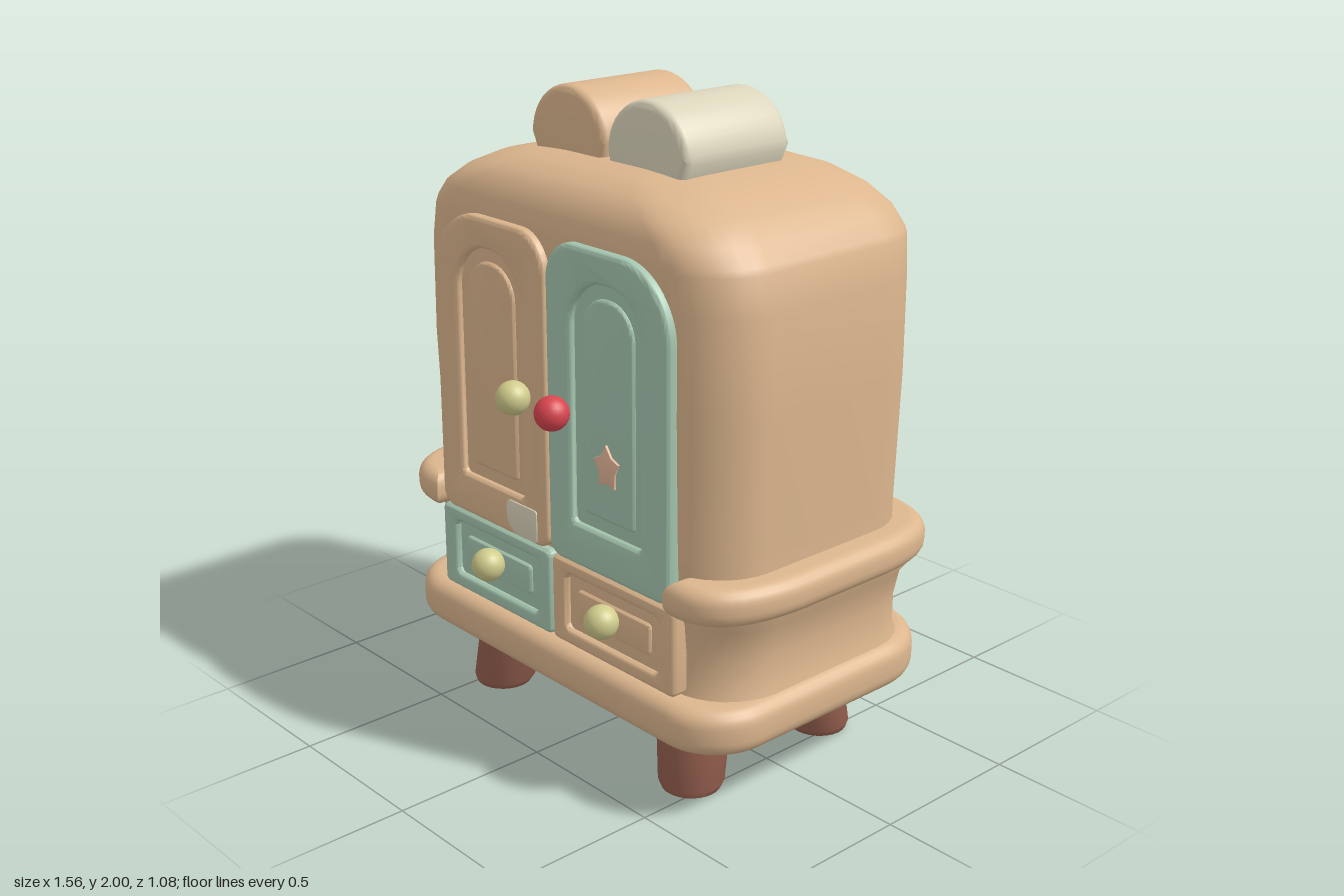
import * as THREE from 'three';
import { toCreasedNormals } from 'three/addons/utils/BufferGeometryUtils.js';

const mat = (name, color) => Object.assign(new THREE.MeshStandardMaterial({ color }), { name });

// Rounded rectangle path; radii: bottom-left, bottom-right, top-right, top-left
function roundRect(x0, x1, y0, y1, [bl, br, tr, tl], Type = THREE.Shape) {
  const s = new Type();
  const P = Math.PI;
  s.moveTo(x0 + bl, y0);
  s.absarc(x1 - br, y0 + br, br, -P / 2, 0, false);
  s.absarc(x1 - tr, y1 - tr, tr, 0, P / 2, false);
  s.absarc(x0 + tl, y1 - tl, tl, P / 2, P, false);
  s.absarc(x0 + bl, y0 + bl, bl, P, 1.5 * P, false);
  return s;
}

// Extrusion whose bevel stays inside the outline, starting at depth 0
function puff(shape, depth, bevel) {
  const g = new THREE.ExtrudeGeometry(shape, {
    depth: depth - 2 * bevel, bevelThickness: bevel, bevelSize: bevel, bevelOffset: -bevel,
    bevelSegments: 5, curveSegments: 10,
  });
  g.translate(0, 0, bevel);
  return toCreasedNormals(g, 0.7);
}

// Outline drawn as (x, -z), raised from y
const slab = (shape, y, h, bevel) => puff(shape, h, bevel).rotateX(-Math.PI / 2).translate(0, y, 0);

// Rounded-rectangle ring, with extra points on the back edge for the recess
function ring([y, hw, zf, zb, recessed]) {
  const r = Math.min(0.2, hw * 0.45, (zf - zb) * 0.3);
  const pts = [];
  const corner = (cx, cz, a) => {
    for (let i = 0; i <= 8; i++) {
      const t = a + (i / 8) * Math.PI / 2;
      pts.push([cx + r * Math.cos(t), y, cz + r * Math.sin(t)]);
    }
  };
  corner(hw - r, zf - r, 0);
  corner(-hw + r, zf - r, Math.PI / 2);
  corner(-hw + r, zb + r, Math.PI);
  const f = Math.min(1, (hw - r) / 0.36);
  for (const x of [-0.335, -0.32, 0.32, 0.335]) {
    pts.push([x * f, y, zb + (recessed && Math.abs(x) < 0.33 ? 0.045 : 0)]);
  }
  corner(hw - r, zb + r, 1.5 * Math.PI);
  return pts;
}

function loft(levels) {
  const rings = levels.map(ring);
  const n = rings[0].length, pos = rings.flat(2), idx = [];
  for (let j = 0; j < rings.length - 1; j++) {
    for (let i = 0; i < n; i++) {
      const a = j * n + i, b = j * n + (i + 1) % n;
      idx.push(a, a + n, b, b, a + n, b + n);
    }
  }
  // Top cap
  const last = levels[levels.length - 1], base = (rings.length - 1) * n;
  pos.push(0, last[0], (last[2] + last[3]) / 2);
  for (let i = 0; i < n; i++) idx.push(rings.length * n, base + (i + 1) % n, base + i);
  const g = new THREE.BufferGeometry();
  g.setAttribute('position', new THREE.Float32BufferAttribute(pos, 3));
  g.setIndex(idx);
  return toCreasedNormals(g, 0.8);
}

export function createModel() {
  const model = new THREE.Group();
  const tan = mat('tan wood', 0xdcb68e), green = mat('sage green', 0xa6c6b0);
  const brown = mat('brown legs', 0x96604f), yellow = mat('yellow knob', 0xd0cb8c);
  const red = mat('red knob', 0xd8454f), cream = mat('cream', 0xdcd5bc);
  const peach = mat('peach', 0xe4b698);
  const add = (name, geo, material, parent = model) => {
    const m = new THREE.Mesh(geo, material);
    m.name = name;
    parent.add(m);
    return m;
  };

  // Cabinet: y, half width, front z, back z, recessed back
  add('upperCabinet', loft([
    [0.70, 0.69, 0.40, -0.44], [0.785, 0.69, 0.405, -0.44], [0.795, 0.69, 0.405, -0.44, 1],
    [1.2, 0.705, 0.41, -0.44, 1], [1.5, 0.70, 0.41, -0.445, 1], [1.61, 0.68, 0.41, -0.46, 1],
    [1.63, 0.67, 0.41, -0.462], [1.68, 0.63, 0.405, -0.455], [1.73, 0.56, 0.385, -0.43],
    [1.77, 0.475, 0.345, -0.385], [1.797, 0.37, 0.28, -0.31], [1.815, 0.22, 0.16, -0.18],
    [1.82, 0.08, 0.06, -0.07],
  ]), tan);
  add('lowerCabinet', loft([
    [0.34, 0.72, 0.40, -0.46, 1], [0.40, 0.70, 0.385, -0.45, 1], [0.50, 0.70, 0.385, -0.45, 1],
    [0.59, 0.715, 0.39, -0.46, 1], [0.64, 0.745, 0.40, -0.49, 1], [0.68, 0.75, 0.40, -0.49, 1],
  ]), tan);

  // Base and the waist moulding that is open at the front
  add('base', slab(roundRect(-0.745, 0.745, -0.47, 0.52, [0.2, 0.2, 0.24, 0.24]), 0.23, 0.145, 0.05), tan);
  const u = new THREE.Shape();
  u.moveTo(-0.53, -0.2);
  u.lineTo(-0.53, -0.46);
  u.lineTo(-0.58, -0.46);
  u.bezierCurveTo(-0.70, -0.45, -0.77, -0.36, -0.78, -0.15);
  u.lineTo(-0.78, 0.22);
  u.bezierCurveTo(-0.77, 0.42, -0.71, 0.5, -0.5, 0.515);
  u.lineTo(0.5, 0.515);
  u.bezierCurveTo(0.71, 0.5, 0.77, 0.42, 0.78, 0.22);
  u.lineTo(0.78, -0.15);
  u.bezierCurveTo(0.77, -0.36, 0.70, -0.45, 0.58, -0.46);
  u.lineTo(0.53, -0.46);
  u.lineTo(0.53, -0.2);
  add('waistMoulding', slab(u, 0.635, 0.115, 0.045), tan);
  add('backLedge', slab(roundRect(-0.335, 0.335, 0.38, 0.537, [0.02, 0.02, 0.01, 0.01]), 0.65, 0.118, 0.008), tan);

  // Doors and drawers: frame, sunken field and raised centre
  function panel(name, s, material, box, radii, inset, insetRadii, zBack, zFront) {
    const g = new THREE.Group();
    g.name = name;
    const side = (b, r, Type) => s > 0 ? roundRect(b[0], b[1], b[2], b[3], r, Type)
      : roundRect(-b[1], -b[0], b[2], b[3], [r[1], r[0], r[3], r[2]], Type);
    const shrink = (d) => [inset[0] + d, inset[1] - d, inset[2] + d, inset[3] - d];
    const frame = side(box, radii);
    frame.holes.push(side(inset, insetRadii, THREE.Path));
    add('frame', puff(frame, zFront - zBack, 0.016).translate(0, 0, zBack), material, g);
    add('field', puff(side(shrink(-0.02), insetRadii), 0.03, 0.004).translate(0, 0, zFront - 0.05), material, g);
    add('raisedCentre', puff(side(shrink(0.04), insetRadii.map((r) => r * 0.75)), 0.03, 0.01)
      .translate(0, 0, zFront - 0.04), material, g);
    model.add(g);
  }
  for (const s of [-1, 1]) {
    const side = s > 0 ? 'left' : 'right';
    panel(side + 'Door', s, s > 0 ? green : tan, [0.004, 0.53, 0.655, 1.625], [0.05, 0.05, 0.21, 0.12],
      [0.115, 0.415, 0.79, 1.53], [0.02, 0.02, 0.14, 0.14], 0.38, 0.438);
    panel(side + 'Drawer', s, s > 0 ? tan : green, [0.004, 0.545, 0.375, 0.65], [0.02, 0.02, 0.02, 0.02],
      [0.07, 0.475, 0.425, 0.605], [0.02, 0.02, 0.02, 0.02], 0.34, 0.432);
    const knob = new THREE.SphereGeometry(0.052, 24, 16);
    add(side + 'DoorKnob', knob, s > 0 ? red : yellow).position.set(0.09 * s, 1.13, 0.486);
    add(side + 'DrawerKnob', knob, yellow).position.set(0.27 * s, 0.53, 0.462);
  }

  // Small painted patches on the doors
  add('creamPatch', puff(roundRect(-0.195, -0.05, 0.665, 0.77, [0.06, 0.01, 0.01, 0.02]), 0.006, 0.002)
    .translate(0, 0, 0.436), cream);
  const star = new THREE.Shape();
  for (let i = 0; i < 10; i++) {
    const a = (i / 10) * Math.PI * 2 + 0.35, r = i % 2 ? 0.045 : 0.07;
    star[i ? 'lineTo' : 'moveTo'](0.27 + r * 0.8 * Math.cos(a), 1.0 + r * Math.sin(a));
  }
  add('peachPatch', puff(star, 0.009, 0.003).translate(0, 0, 0.43), peach);

  // Two domed rolls on top
  for (const s of [-1, 1]) {
    const dome = new THREE.Shape();
    dome.moveTo(0.165 * s + 0.15, 1.78);
    dome.lineTo(0.172 * s + 0.17, 1.84);
    dome.absellipse(0.172 * s, 1.84, 0.172, 0.16, 0, Math.PI, false, 0);
    dome.lineTo(0.165 * s - 0.15, 1.78);
    add(s > 0 ? 'creamRoll' : 'tanRoll', puff(dome, 0.405, 0.025).translate(0, 0, -0.203), s > 0 ? cream : tan);
  }

  // Splayed legs with rounded feet
  for (const sx of [-1, 1]) for (const sz of [-1, 1]) {
    const profile = [[0, 0], [0.075, 0], [0.09, 0.005], [0.1, 0.025], [0.115, 0.25]];
    const g = new THREE.LatheGeometry(profile.map((p) => new THREE.Vector2(...p)), 28);
    const p = g.attributes.position;
    for (let i = 0; i < p.count; i++) {
      const t = p.getY(i) / 0.25;
      p.setX(i, p.getX(i) + sx * (0.455 - 0.03 * t));
      p.setZ(i, p.getZ(i) + sz * (0.275 - 0.04 * t));
    }
    add((sz > 0 ? 'front' : 'back') + (sx > 0 ? 'Left' : 'Right') + 'Leg', toCreasedNormals(g, 0.9), brown);
  }
  return model;
}
